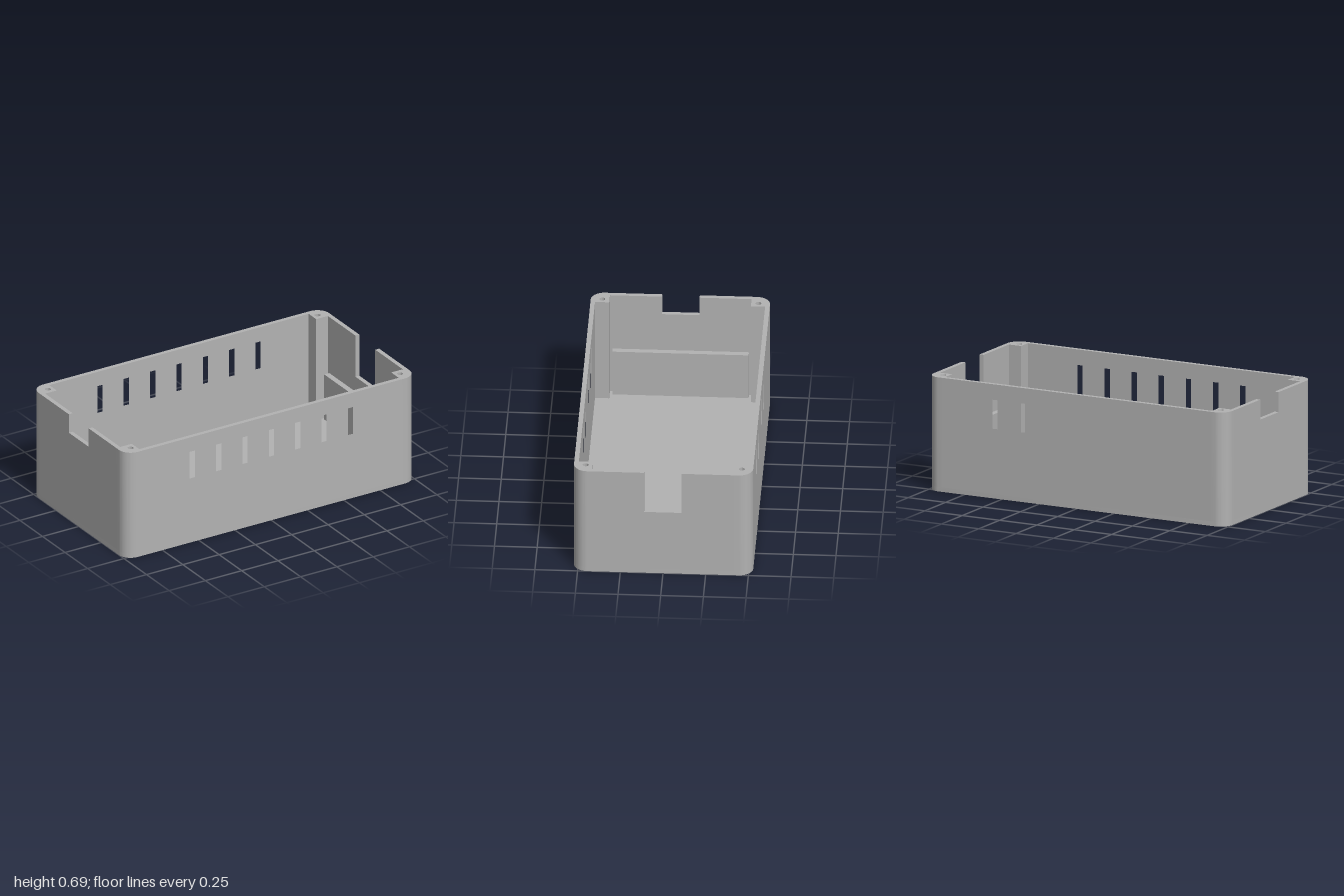
import * as THREE from 'three';
import { toCreasedNormals } from 'three/addons/utils/BufferGeometryUtils.js';

const W = 1, D = 0.525, H = 0.685;       // half width, half depth, height
const R = 0.08, WALL = 0.027, FLOOR = 0.027;
const POST_X = 0.893, POST_Z = 0.415;    // inner corners of the screw posts
const SCREW_X = 0.928, SCREW_Z = 0.457, SCREW_R = 0.017;

// points of one rounded outer corner, mirrored by signs
function cornerArc(sx, sy) {
  const pts = [];
  for (let i = 0; i <= 16; i++) {
    const a = (i / 16) * Math.PI / 2;
    pts.push(new THREE.Vector2(sx * (W - R + R * Math.cos(a)), sy * (D - R + R * Math.sin(a))));
  }
  return pts;
}

function extrude(shape, depth) {
  return new THREE.ExtrudeGeometry(shape, { depth, bevelEnabled: false, curveSegments: 16 });
}

function rectPath(x0, y0, x1, y1) {
  return new THREE.Path([[x0, y0], [x0, y1], [x1, y1], [x1, y0]].map(p => new THREE.Vector2(...p)));
}

export function createModel() {
  const group = new THREE.Group();
  group.name = 'enclosure';
  const grey = new THREE.MeshStandardMaterial({ color: 0xb2b2b2 });
  grey.name = 'grey plastic';

  const add = (name, geometry, x = 0, y = 0, z = 0) => {
    const mesh = new THREE.Mesh(toCreasedNormals(geometry, 0.5), grey);
    mesh.name = name;
    mesh.position.set(x, y, z);
    group.add(mesh);
  };

  // floor slab with rounded corners
  const outline = [
    ...cornerArc(1, 1), ...cornerArc(-1, 1).reverse(),
    ...cornerArc(-1, -1), ...cornerArc(1, -1).reverse(),
  ];
  add('floor', extrude(new THREE.Shape(outline), FLOOR).rotateX(-Math.PI / 2));

  // corner posts with screw holes
  for (const sx of [-1, 1]) for (const sy of [-1, 1]) {
    const shape = new THREE.Shape([
      new THREE.Vector2(sx * POST_X, sy * POST_Z),
      new THREE.Vector2(sx * W, sy * POST_Z),
      ...cornerArc(sx, sy),
      new THREE.Vector2(sx * POST_X, sy * D),
    ]);
    shape.holes.push(new THREE.Path().absarc(sx * SCREW_X, sy * SCREW_Z, SCREW_R, 0, Math.PI * 2));
    add('screwPost', extrude(shape, H - FLOOR).rotateX(-Math.PI / 2), 0, FLOOR, 0);
  }

  // long walls, each with seven vent slots
  for (const [name, z] of [['frontWall', D - WALL], ['backWall', -D]]) {
    const shape = new THREE.Shape(rectPath(-POST_X, FLOOR, POST_X, H).getPoints());
    for (let i = -3; i <= 3; i++) {
      const x = i * 0.1815;
      shape.holes.push(rectPath(x - 0.018, 0.418, x + 0.018, 0.592));
    }
    add(name, extrude(shape, WALL), 0, 0, z);
  }

  // end walls with cable notches: deep on the left, shallow on the right
  for (const [name, x, notch] of [['leftWall', W - WALL, 0.417], ['rightWall', -W, 0.565]]) {
    const n = 0.11;
    const shape = new THREE.Shape([
      [-POST_Z, FLOOR], [POST_Z, FLOOR], [POST_Z, H], [n, H],
      [n, notch], [-n, notch], [-n, H], [-POST_Z, H],
    ].map(p => new THREE.Vector2(...p)));
    add(name, extrude(shape, WALL).rotateY(Math.PI / 2), x, 0, 0);
  }

  // inner support ledges along the end walls
  const ledgeH = 0.32 - FLOOR;
  for (const s of [-1, 1]) {
    add('supportLedge', new THREE.BoxGeometry(0.035, ledgeH, 0.798),
      s * (W - WALL - 0.0175), FLOOR + ledgeH / 2, 0);
  }
  return group;
}
